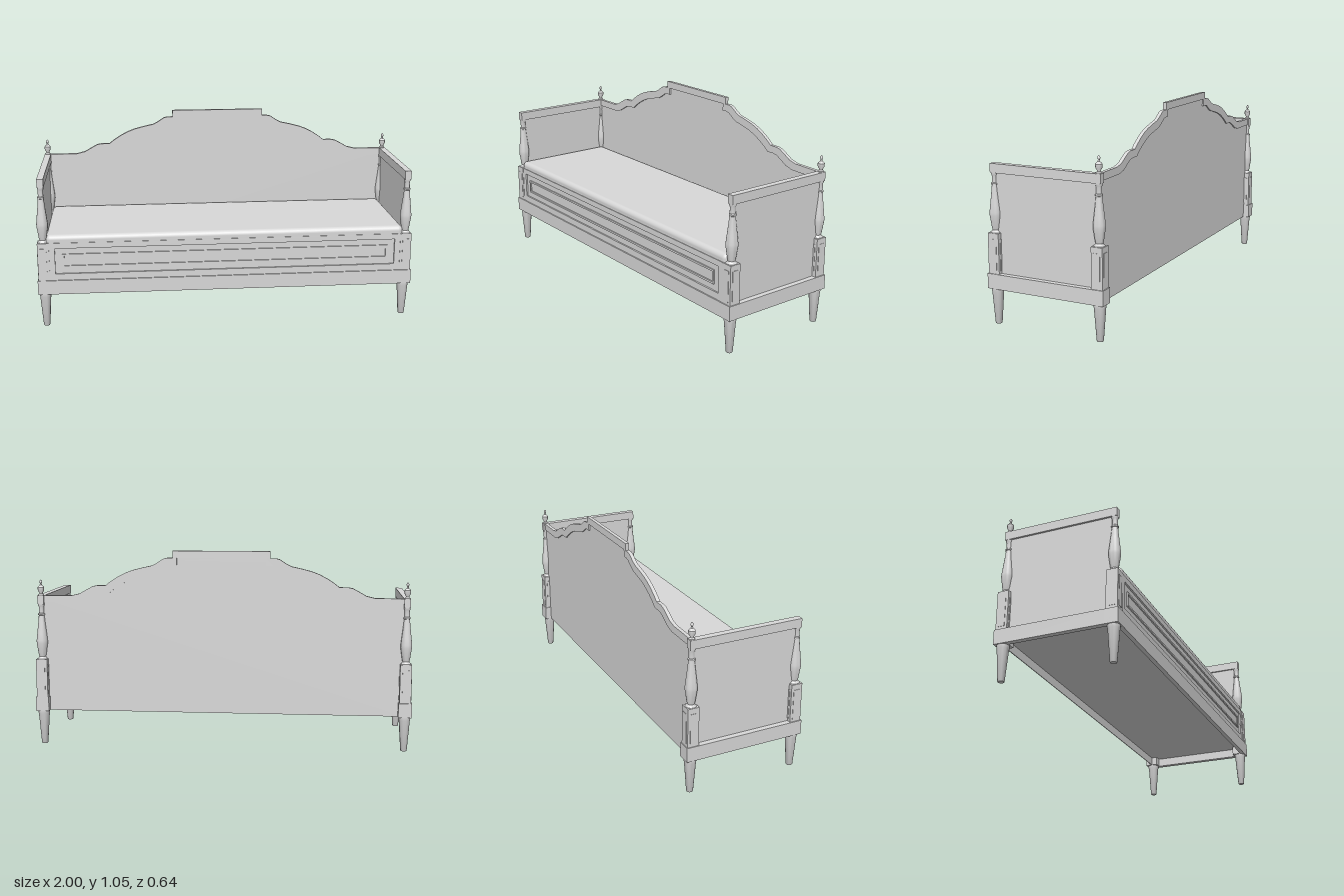
import * as THREE from 'three';
import { RoundedBoxGeometry } from 'three/addons/geometries/RoundedBoxGeometry.js';
import { toCreasedNormals } from 'three/addons/utils/BufferGeometryUtils.js';

const PX = 0.965, PZ = 0.285; // post centres

export function createModel() {
  const model = new THREE.Group();
  model.name = 'daybed';
  const paint = new THREE.MeshStandardMaterial({ color: 0xd8d8d8 });
  paint.name = 'pale grey';

  const add = (name, geo, parent = model) => {
    const mesh = new THREE.Mesh(geo, paint);
    mesh.name = name;
    parent.add(mesh);
    return mesh;
  };
  // box given by its limits
  const box = (name, x0, x1, y0, y1, z0, z1, parent) =>
    add(name, new THREE.BoxGeometry(x1 - x0, y1 - y0, z1 - z0), parent)
      .position.set((x0 + x1) / 2, (y0 + y1) / 2, (z0 + z1) / 2);
  const turned = (points) => toCreasedNormals(
    new THREE.LatheGeometry(points.map(([r, y]) => new THREE.Vector2(r, y)), 24), 0.6);
  const shapeOf = (points) => new THREE.Shape(points.map(([x, y]) => new THREE.Vector2(x, y)));
  const extrude = (shape, depth) =>
    new THREE.ExtrudeGeometry(shape, { depth, bevelEnabled: false });
  // rectangular frame: half width and height limits, outside and inside
  const rect = (w, y0, y1) => shapeOf([[-w, y0], [w, y0], [w, y1], [-w, y1]]);
  const frame = (name, outer, inner, z0, z1) => {
    const shape = rect(...outer);
    shape.holes.push(rect(...inner));
    add(name, extrude(shape, z1 - z0)).position.z = z0;
  };

  // turned profiles: radius, height
  const leg = turned([[0, 0], [0.015, 0], [0.017, 0.004], [0.029, 0.165], [0.031, 0.172], [0.031, 0.186], [0, 0.186]]);
  const spindle = turned([
    [0.028, 0.46], [0.028, 0.466], [0.021, 0.471], [0.018, 0.478], [0.021, 0.49], [0.026, 0.525],
    [0.03, 0.55], [0.03, 0.565], [0.026, 0.6], [0.019, 0.66], [0.015, 0.7], [0.018, 0.702],
    [0.018, 0.709], [0.014, 0.713], [0.014, 0.745], [0.017, 0.754], [0.017, 0.762]]);
  const finial = turned([
    [0.015, 0.804], [0.015, 0.81], [0.009, 0.816], [0.009, 0.82], [0.016, 0.832], [0.017, 0.838],
    [0.017, 0.85], [0.012, 0.856], [0.006, 0.861], [0.004, 0.87], [0.007, 0.876], [0.007, 0.881],
    [0.004, 0.887], [0, 0.891]]);

  for (const sx of [-1, 1]) {
    for (const sz of [-1, 1]) {
      const post = new THREE.Group();
      post.name = (sz > 0 ? 'front' : 'back') + (sx > 0 ? 'LeftPost' : 'RightPost');
      post.position.set(sx * PX, 0, sz * PZ);
      model.add(post);
      add('leg', leg, post);
      box('footBlock', -0.035, 0.035, 0.184, 0.26, -0.035, 0.035, post);
      box('block', -0.03, 0.03, 0.26, 0.464, -0.03, 0.03, post);
      // slim raised strips on the block faces
      box('sideStrips', -0.032, 0.032, 0.275, 0.435, -0.017, 0.017, post);
      box('frontStrips', -0.017, 0.017, 0.275, 0.435, -0.032, 0.032, post);
      add('spindle', spindle, post);
      if (sz < 0) add('finial', finial, post);
    }
    // side end: base rail, panel and top rail
    const x = sx * PX, railX = sx * 0.986;
    box('sideBaseRail', railX - 0.014, railX + 0.014, 0.184, 0.26, -0.3, 0.3);
    box('sidePanel', x - 0.007, x + 0.007, 0.23, 0.77, -PZ, PZ);
    box('sideTopRail', x - 0.017, x + 0.017, 0.76, 0.806, -0.301, 0.301);
  }

  // front base rail and raised floor
  box('frontBaseRail', -0.95, 0.95, 0.184, 0.26, 0.297, 0.32);
  box('floor', -0.975, 0.975, 0.23, 0.245, -0.283, 0.3);

  // front apron: frame, sunken panel and raised moulding
  const outer = [0.905, 0.295, 0.434];
  frame('apronFrame', [0.94, 0.258, 0.464], outer, 0.293, 0.313);
  box('apronPanel', -0.91, 0.91, 0.29, 0.44, 0.293, 0.304);
  frame('apronMoulding', [0.867, 0.328, 0.402], [0.857, 0.338, 0.392], 0.3, 0.311);

  // mattress with soft edges
  add('mattress', new RoundedBoxGeometry(1.9, 0.07, 0.588, 4, 0.025)).position.set(0, 0.469, 0.016);

  // backboard crest, left half from the end to the middle
  const half = [
    [0.955, 0.806], [0.8, 0.807], [0.755, 0.818], [0.72, 0.838], [0.685, 0.857], [0.66, 0.862],
    [0.615, 0.862], [0.59, 0.882], [0.55, 0.908], [0.51, 0.929], [0.47, 0.944], [0.42, 0.957],
    [0.365, 0.969], [0.34, 0.982], [0.305, 1.005], [0.285, 1.01], [0.256, 1.01], [0.256, 1.047]];
  const mirror = (pts) => [...pts, ...pts.map(([x, y]) => [-x, y]).reverse()];
  const crest = mirror(half);
  const lower = mirror(half.map(([x, y]) => [x > 0.9 ? x : x - 0.022, y - 0.038]));
  // thin panel ending inside the trim
  const panelTop = mirror(half.map(([x, y]) => [x > 0.9 ? x : x - 0.011, y - 0.019]));
  add('backPanel', extrude(shapeOf([[-0.955, 0.184], [0.955, 0.184], ...panelTop]), 0.004))
    .position.z = -0.286;
  add('backCrestTrim', extrude(shapeOf([...crest, ...lower.reverse()]), 0.019)).position.z = -0.293;

  return model;
}
